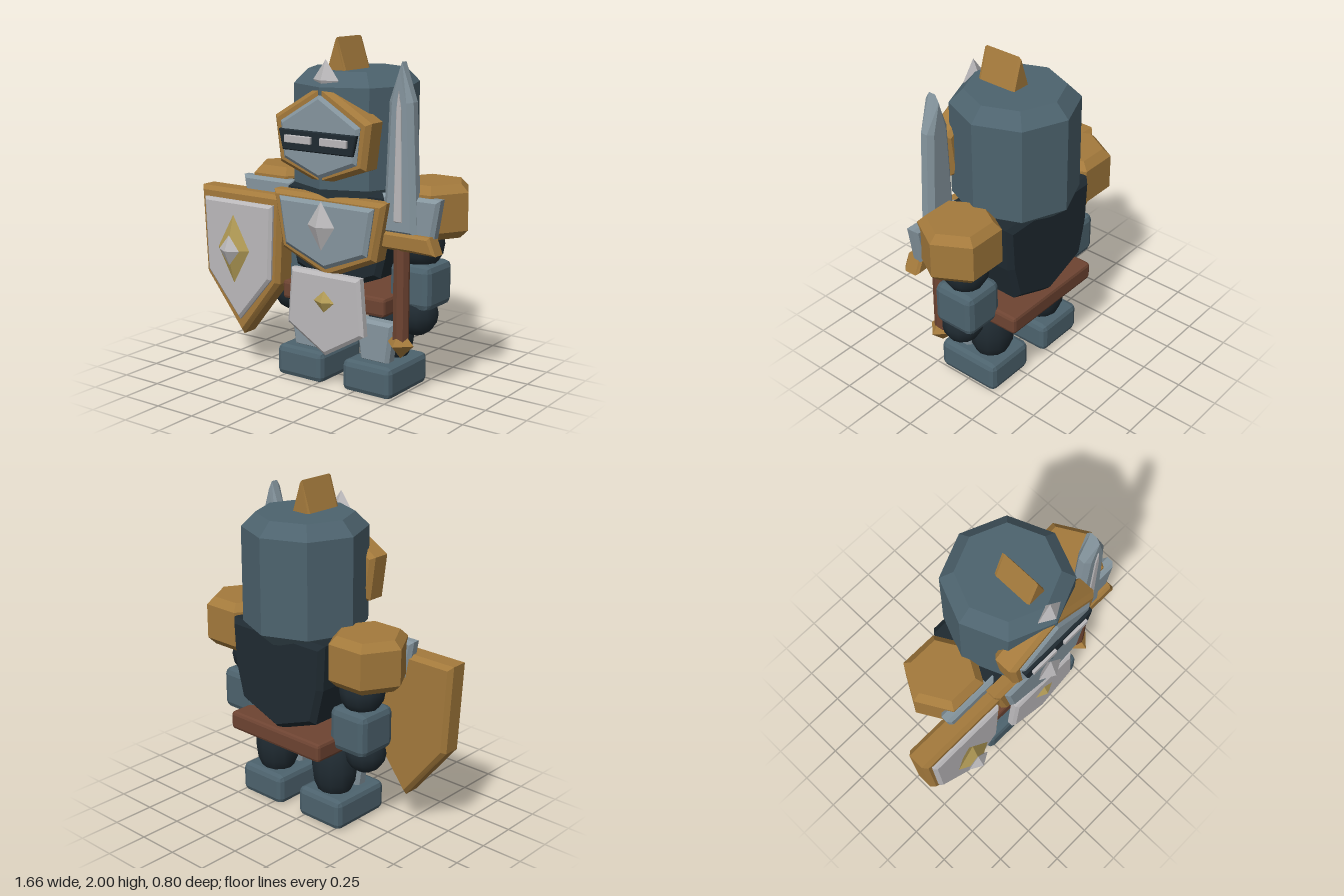
import * as THREE from 'three';
import { RoundedBoxGeometry } from 'three/addons/geometries/RoundedBoxGeometry.js';

const mat = (name, color) => {
  const m = new THREE.MeshStandardMaterial({ color });
  m.name = name;
  return m;
};

export function createModel() {
  const steel = mat('dark steel', 0x4d636e);
  const plateBlue = mat('pale steel', 0x85959e);
  const silver = mat('silver', 0xbbb9bb);
  const gold = mat('gold', 0xa47a3c);
  const brass = mat('pale gold', 0xb39c56);
  const dark = mat('dark cloth', 0x1f2a31);
  const leather = mat('leather', 0x6e4432);

  const root = new THREE.Group();
  const CX = 0.107; // body centre line

  const add = (name, geo, material, x = 0, y = 0, z = 0) => {
    const m = new THREE.Mesh(geo, material);
    m.name = name;
    m.position.set(x, y, z);
    root.add(m);
    return m;
  };
  const flat = (geo) => {
    const g = geo.index ? geo.toNonIndexed() : geo;
    g.computeVertexNormals();
    return g;
  };

  // Symmetric chamfered plate from the +x half of its outline, between z0 and z1
  const plate = (name, material, half, x, z0, z1, bevel = 0.02, bevelDepth = bevel) => {
    const mirrored = half.filter((p) => p[0] > 0).map(([a, b]) => [-a, b]).reverse();
    const pts = [...half, ...mirrored].map(([a, b]) => new THREE.Vector2(a, b));
    const geo = new THREE.ExtrudeGeometry(new THREE.Shape(pts), {
      depth: z1 - z0 - 2 * bevelDepth, bevelEnabled: bevel > 0, bevelSegments: 1,
      bevelSize: bevel, bevelOffset: -bevel, bevelThickness: bevelDepth,
    });
    return add(name, geo, material, x, 0, z0 + bevelDepth);
  };
  // Upright faceted solid from a radius and height profile
  const prism = (name, material, profile, sides, x, z) =>
    add(name, flat(new THREE.LatheGeometry(profile.map(([r, y]) => new THREE.Vector2(r, y)), sides)), material, x, 0, z);
  const gem = (name, material, x, y, z, rx, ry, rz) =>
    add(name, flat(new THREE.OctahedronGeometry(1, 0).scale(rx, ry, rz)), material, x, y, z);
  const block = (name, material, w, h, d, c, x, y, z) =>
    add(name, flat(new RoundedBoxGeometry(w, h, d, 1, c)), material, x, y, z);
  const ball = (name, material, x, y, z, rx, ry, rz) =>
    add(name, new THREE.SphereGeometry(1, 12, 8).scale(rx, ry, rz), material, x, y, z);

  // Helmet, crest and visor
  prism('helmet', steel, [[0, 1.1], [0.27, 1.1], [0.36, 1.18], [0.36, 1.74], [0.28, 1.82], [0, 1.82]], 8, CX, -0.045);
  plate('crest', gold, [[0, 2], [0.075, 1.78]], CX, -0.085, 0.165, 0.008, 0.015);
  gem('helmetGem', silver, CX, 1.775, 0.255, 0.085, 0.112, 0.05);
  plate('visorRim', gold, [[0, 1.757], [0.325, 1.565], [0.29, 1.305], [0, 1.2]], CX, 0.16, 0.31, 0.025);
  plate('visorPlate', plateBlue, [[0, 1.7], [0.268, 1.54], [0.245, 1.335], [0, 1.238]], CX, 0.29, 0.328, 0.02, 0.015);
  plate('eyeSlit', dark, [[0.262, 1.5], [0.235, 1.385]], CX, 0.315, 0.345, 0.006);
  for (const s of [-1, 1]) block('eye', silver, 0.178, 0.042, 0.03, 0.003, CX + s * 0.12, 1.45, 0.347);

  // Torso, breastplate, belt and tabard
  plate('torso', dark, [[0.36, 1.17], [0.345, 0.9], [0.29, 0.68], [0, 0.57]], CX, -0.3, 0.17, 0.03);
  plate('breastplateRim', gold, [[0.385, 1.13], [0.322, 0.795], [0, 0.66]], CX, 0.12, 0.255, 0.025);
  plate('breastplate', plateBlue, [[0.325, 1.1], [0.28, 0.825], [0, 0.715]], CX, 0.235, 0.28, 0.022, 0.018);
  gem('breastGem', silver, CX, 0.97, 0.305, 0.092, 0.14, 0.05);
  block('belt', leather, 0.71, 0.112, 0.53, 0.02, CX, 0.53, -0.06);
  plate('tabard', silver, [[0.237, 0.695], [0.265, 0.365], [0, 0.21]], CX, 0.215, 0.28, 0.02, 0.015);
  gem('tabardGem', brass, CX, 0.53, 0.265, 0.103, 0.092, 0.047);

  // Paired limbs and armour
  for (const s of [-1, 1]) {
    const side = s > 0 ? 'left' : 'right';
    const shoulderX = CX + s * 0.49;
    const armX = CX + s * 0.435;
    const legX = CX + s * 0.235;
    const cap = prism(side + 'Pauldron', gold,
      [[0, 0.93], [0.185, 0.93], [0.232, 0.975], [0.232, 1.185], [0.185, 1.23], [0, 1.23]], 6, shoulderX, -0.06);
    cap.rotation.y = Math.PI / 6;
    plate(side + 'PauldronPlate', plateBlue, [[0.185, 1.17], [0.145, 0.94]], shoulderX, 0.09, 0.17, 0.02);
    ball(side + 'UpperArm', dark, armX, 0.87, -0.045, 0.135, 0.15, 0.135);
    block(side + 'Forearm', steel, 0.26, 0.26, 0.27, 0.04, armX, 0.64, -0.05);
    ball(side + 'Hand', dark, armX, 0.47, -0.01, 0.125, 0.125, 0.12);
    ball(side + 'Leg', dark, legX, 0.33, -0.055, 0.14, 0.22, 0.13);
    plate(side + 'ShinGuard', plateBlue, [[0.128, 0.42], [0.095, 0.17]], legX, 0.04, 0.13, 0.02);
    block(side + 'Foot', steel, 0.328, 0.187, 0.412, 0.035, legX, 0.0935, 0.005);
  }

  // Shield
  const SX = -0.527;
  plate('shieldRim', gold, [[0.306, 1.09], [0.278, 0.56], [0, 0.21]], SX, 0.1, 0.247, 0.025);
  plate('shieldFace', silver, [[0.258, 1.03], [0.237, 0.585], [0, 0.31]], SX, 0.225, 0.275, 0.018, 0.015);
  gem('shieldBoss', brass, SX, 0.75, 0.308, 0.117, 0.205, 0.06);
  gem('shieldGem', silver, SX, 0.75, 0.35, 0.075, 0.09, 0.042);

  // Sword
  const WX = 0.543;
  plate('blade', plateBlue, [[0, 1.89], [0.075, 1.68], [0.108, 0.95]], WX, 0.105, 0.197, 0.03, 0.025);
  plate('bladeRidge', silver, [[0, 1.74], [0.015, 1.64], [0.027, 1.03]], WX, 0.185, 0.204, 0.004);
  plate('swordGuard', gold, [[0.195, 0.97], [0.235, 0.87], [0.09, 0.872]], WX, 0.1, 0.205, 0.015);
  prism('swordGrip', leather, [[0, 0.34], [0.046, 0.34], [0.046, 0.9], [0, 0.9]], 8, WX, 0.153);
  prism('pommel', gold, [[0, 0.25], [0.085, 0.335], [0.045, 0.375], [0, 0.375]], 4, WX, 0.155);

  return root;
}
